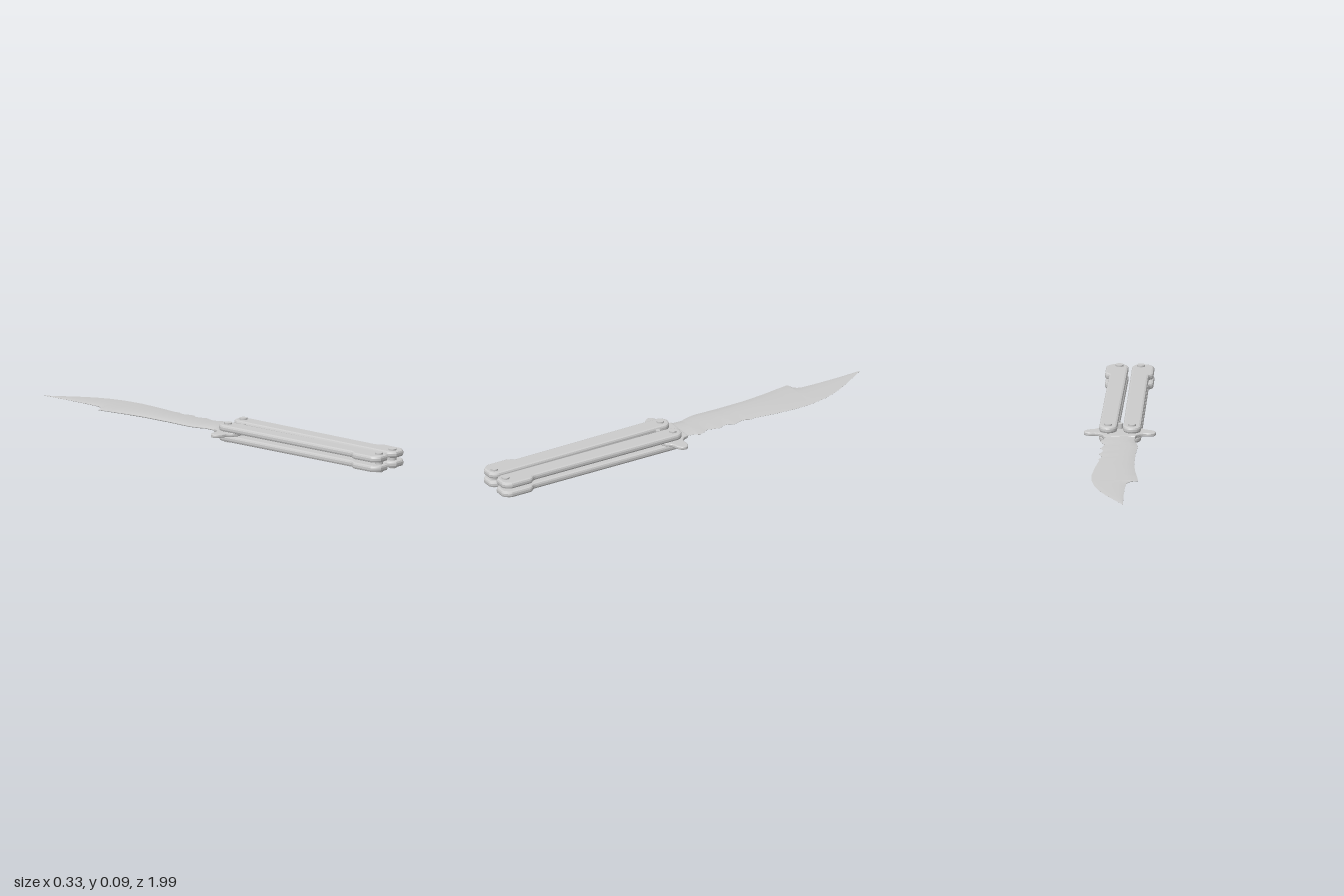
import * as THREE from 'three';

const MID = 0.045; // height of the blade's centre plane
const material = new THREE.MeshStandardMaterial({ color: 0xcccccc });

function add(parent, geometry, name, x = 0, y = 0, z = 0) {
  const mesh = new THREE.Mesh(geometry, material);
  mesh.name = name;
  mesh.position.set(x, y, z);
  parent.add(mesh);
  return mesh;
}

// Chamfered flat plate from an outline drawn in (x, -z), centred on y = 0
function plate(shape, thickness, chamferWidth, chamferHeight) {
  const depth = thickness - 2 * chamferHeight;
  const geometry = new THREE.ExtrudeGeometry(shape, {
    depth, bevelSize: chamferWidth, bevelOffset: -chamferWidth,
    bevelThickness: chamferHeight, bevelSegments: 2, curveSegments: 10,
  });
  return geometry.translate(0, 0, -depth / 2).rotateX(-Math.PI / 2);
}

// Edge x at a given z, from [z, x] points
function sample(edge, z) {
  for (let i = 1; i < edge.length; i++) {
    const [z0, x0] = edge[i - 1], [z1, x1] = edge[i];
    if (z <= z1) return x0 + (x1 - x0) * Math.max(0, (z - z0) / (z1 - z0));
  }
  return edge[edge.length - 1][1];
}

// Blade lofted from thin lens sections along z
function bladeGeometry() {
  const spine = [[-1, -0.063], [-0.87, -0.059], [-0.75, -0.06], [-0.69, -0.063], [-0.668, -0.07],
    [-0.652, -0.085], [-0.648, -0.1], [-0.642, -0.115], [-0.58, -0.107], [-0.5, -0.095], [-0.4, -0.086],
    [-0.25, -0.085], [-0.13, -0.09], [-0.09, -0.083], [-0.05, -0.07], [0, -0.072], [0.04, -0.08]];
  const edge = [[-1, -0.062], [-0.94, -0.025], [-0.87, 0.018], [-0.8, 0.055], [-0.73, 0.08], [-0.65, 0.096],
    [-0.56, 0.1], [-0.45, 0.09], [-0.35, 0.076], [-0.325, 0.08], [-0.31, 0.07], [-0.29, 0.068], [-0.265, 0.076],
    [-0.24, 0.08], [-0.22, 0.066], [-0.195, 0.066], [-0.165, 0.078], [-0.14, 0.07], [-0.11, 0.062],
    [-0.085, 0.075], [-0.055, 0.085], [-0.035, 0.07], [0, 0.065], [0.04, 0.08]];
  const rows = [...new Set([...spine, ...edge].map(p => p[0]))].sort((a, b) => a - b);
  const section = [[0, 0.3], [0.22, 1], [0.5, 0.95], [0.78, 0.6], [1, 0.08]]; // across, thickness
  const ring = [...section, ...section.map(([u, t]) => [u, -t]).reverse()];
  const n = ring.length, positions = [], index = [];
  rows.forEach((z, r) => {
    const left = sample(spine, z), right = sample(edge, z);
    const half = 0.007 * Math.min(1, 0.12 + (z + 1) * 1.6);
    ring.forEach(([u, t]) => positions.push(left + (right - left) * u, t * half, z));
    if (r === 0) return;
    for (let i = 0; i < n; i++) {
      const a = (r - 1) * n + i, b = (r - 1) * n + (i + 1) % n;
      index.push(a, a + n, b, b, a + n, b + n);
    }
  });
  const geometry = new THREE.BufferGeometry();
  geometry.setAttribute('position', new THREE.Float32BufferAttribute(positions, 3));
  geometry.setIndex(index);
  geometry.computeVertexNormals();
  return geometry;
}

// Tang with a rounded guard lobe on each side
function tangShape() {
  const half = [[0.072, 0.0], [0.082, 0.025], [0.105, 0.043], [0.135, 0.042], [0.158, 0.052], [0.164, 0.07],
    [0.155, 0.088], [0.135, 0.1], [0.112, 0.108], [0.09, 0.13], [0.06, 0.142], [0.03, 0.138]];
  const curve = new THREE.SplineCurve(half.map(([x, z]) => new THREE.Vector2(x, -z))).getPoints(44);
  const mirrored = curve.map(p => new THREE.Vector2(-p.x, p.y)).reverse();
  return new THREE.Shape([...mirrored, ...curve].reverse());
}

// Handle scale running +z from its pivot, flared on the outer (+x) side
function handleShape() {
  const r = 0.041, shape = new THREE.Shape();
  shape.moveTo(-r, 0);
  shape.lineTo(-r, -0.885);
  shape.quadraticCurveTo(-0.038, -0.905, -0.016, -0.922);
  shape.lineTo(0.03, -0.922);
  shape.quadraticCurveTo(0.052, -0.91, 0.061, -0.885);
  shape.lineTo(0.061, -0.79);
  shape.quadraticCurveTo(0.06, -0.775, 0.05, -0.768);
  shape.quadraticCurveTo(r, -0.76, r, -0.745);
  shape.lineTo(r, 0);
  shape.absarc(0, 0, r, 0, Math.PI, false);
  return shape;
}

// Mirrors a geometry across x and keeps its faces outward
function mirrorX(geometry) {
  const g = geometry.clone().scale(-1, 1, 1);
  for (const name of ['position', 'normal', 'uv']) {
    const a = g.attributes[name], s = a.itemSize;
    for (let i = 0; i < a.count; i += 3) {
      for (let k = 0; k < s; k++) {
        const p = (i + 1) * s + k, q = (i + 2) * s + k;
        [a.array[p], a.array[q]] = [a.array[q], a.array[p]];
      }
    }
  }
  g.computeVertexNormals();
  return g;
}

export function createModel() {
  const model = new THREE.Group();
  model.name = 'foldingKnife';

  add(model, bladeGeometry(), 'blade', 0, MID, 0);
  add(model, plate(tangShape(), 0.017, 0.006, 0.004), 'tangGuard', 0, MID, 0);
  // Stop pin between the handles
  add(model, new THREE.CylinderGeometry(0.011, 0.011, 0.065, 16), 'stopPin', 0, MID, 0.115);

  const scale = plate(handleShape(), 0.03, 0.01, 0.01);
  const pin = new THREE.CylinderGeometry(0.018, 0.018, 0.09, 20);
  for (const side of [-1, 1]) {
    const handle = new THREE.Group();
    handle.name = side > 0 ? 'leftHandle' : 'rightHandle';
    handle.position.set(side > 0 ? 0.054 : -0.055, MID, 0.07);
    if (side > 0) handle.rotation.y = -0.013; // this handle sits slightly closed
    const geometry = side > 0 ? scale : mirrorX(scale);
    for (const level of [-1, 1]) {
      add(handle, geometry, level > 0 ? 'upperScale' : 'lowerScale', 0, level * 0.0225, 0);
    }
    add(handle, pin, 'pivotPin');
    add(handle, pin, 'endPin', 0, 0, 0.885);
    model.add(handle);
  }
  return model;
}
